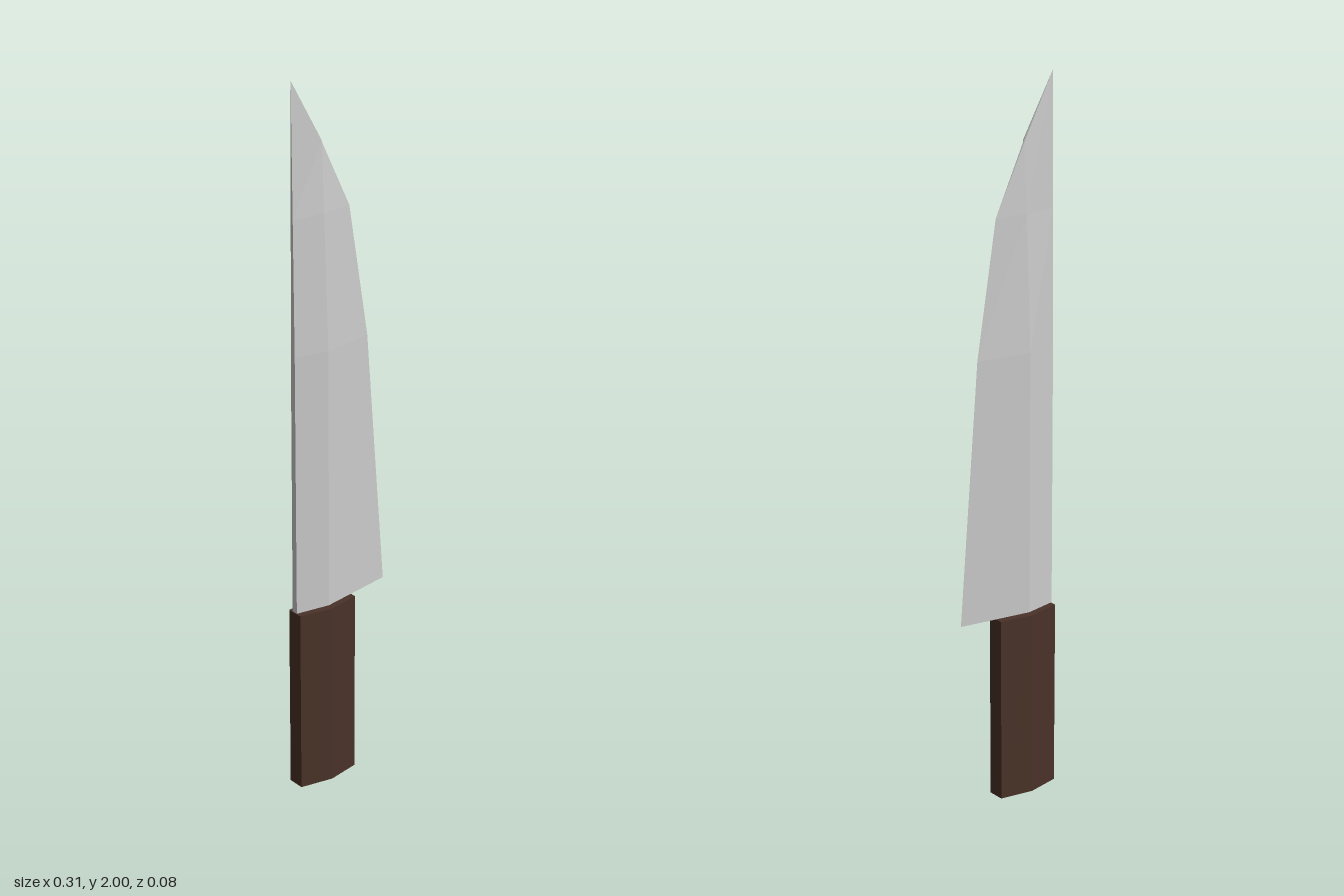
import * as THREE from 'three';

// Joins rings of [x, y, z] points (counter-clockwise seen from above) into a closed solid
function loft(rings) {
  const n = rings[0].length, last = rings.length - 1, pos = [];
  const tri = (a, b, c) => pos.push(...a, ...b, ...c);
  for (let r = 0; r < last; r++) {
    for (let i = 0; i < n; i++) {
      const j = (i + 1) % n, lo = rings[r], hi = rings[r + 1];
      tri(lo[i], lo[j], hi[j]);
      tri(lo[i], hi[j], hi[i]);
    }
  }
  for (let i = 1; i < n - 1; i++) {
    tri(rings[0][0], rings[0][i + 1], rings[0][i]);
    tri(rings[last][0], rings[last][i], rings[last][i + 1]);
  }
  const geo = new THREE.BufferGeometry();
  geo.setAttribute('position', new THREE.Float32BufferAttribute(pos, 3));
  geo.computeVertexNormals();
  return geo;
}

function part(name, geometry, color) {
  const mesh = new THREE.Mesh(geometry, new THREE.MeshStandardMaterial({ color, flatShading: true }));
  mesh.name = name;
  return mesh;
}

const SPINE = -0.154, RIDGE = -0.06;

// One blade section: flat spine, thick ridge on each face, sharp cutting edge
function bladeRing([spineY, spineZ, ridgeY, ridgeZ, edgeX, edgeY]) {
  return [
    [SPINE, spineY, spineZ], [RIDGE, ridgeY, ridgeZ], [edgeX, edgeY, 0],
    [RIDGE, ridgeY, -ridgeZ], [SPINE, spineY, -spineZ],
  ];
}

// Six-sided handle section
function handleRing(y) {
  const front = 0.034;
  return [
    [SPINE, y, 0.024], [RIDGE, y, 0.042], [front, y, 0.024],
    [front, y, -0.024], [RIDGE, y, -0.042], [SPINE, y, -0.024],
  ];
}

export function createModel() {
  const knife = new THREE.Group();
  knife.name = 'kitchenKnife';

  knife.add(part('handle', loft([handleRing(0), handleRing(0.53)]), 0x4a3228));

  // Blade from heel to point: spine y, z, ridge y, z, edge x, y
  const sections = [
    [0.532, 0.009, 0.535, 0.029, 0.152, 0.54],
    [1.27, 0.008, 1.27, 0.029, 0.093, 1.27],
    [1.64, 0.004, 1.64, 0.0125, 0.032, 1.64],
    [2.0, 0, 1.83, 0.004, RIDGE + 0.001, 1.83],
  ];
  knife.add(part('blade', loft(sections.map(bladeRing)), 0xcccccc));

  return knife;
}
